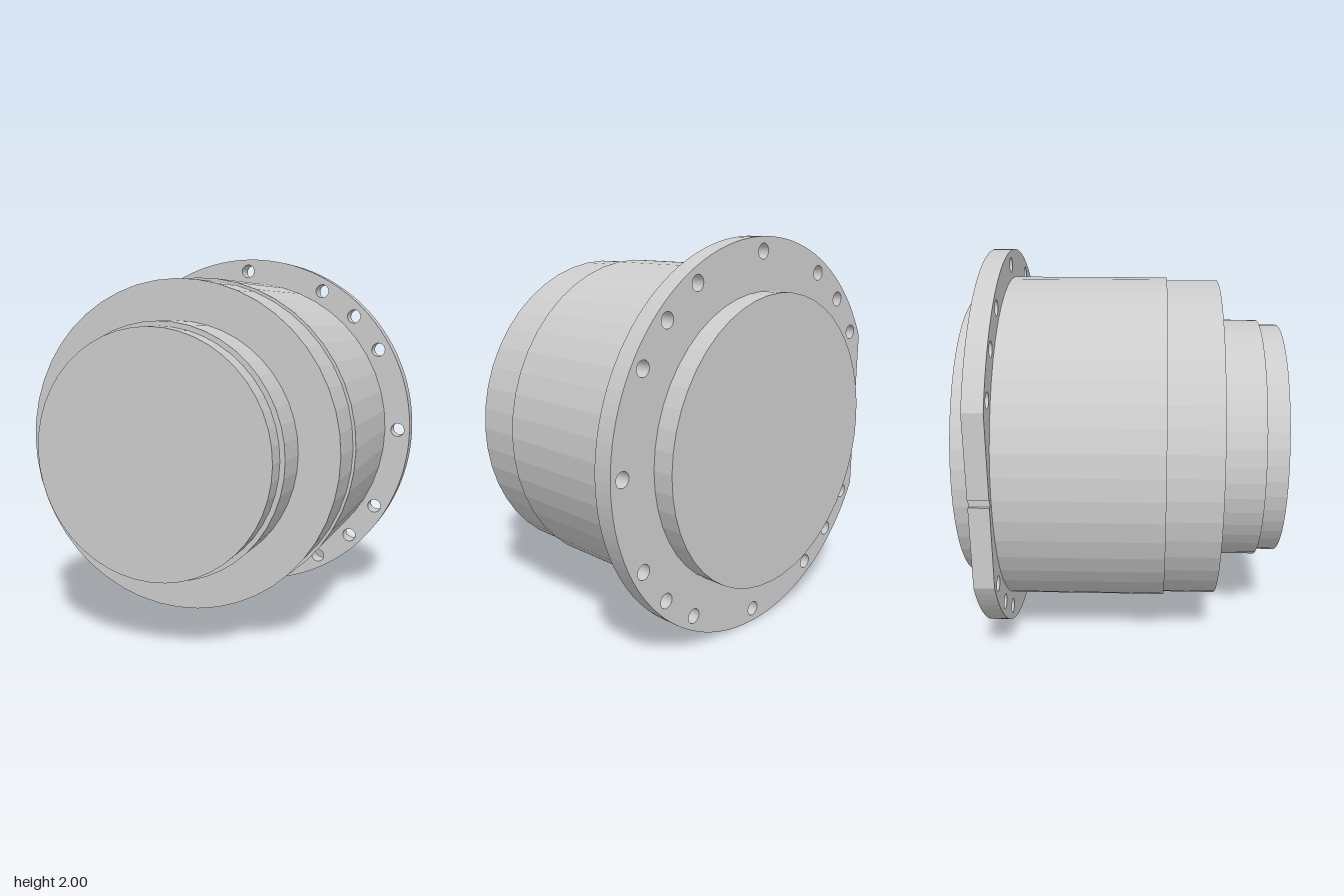
import * as THREE from 'three';

const AXIS_X = -0.05, AXIS_Y = 1;

export function createModel() {
  const group = new THREE.Group();
  const material = new THREE.MeshStandardMaterial({ color: 0xcccccc, flatShading: true });

  function add(name, geometry, z) {
    const mesh = new THREE.Mesh(geometry, material);
    mesh.name = name;
    mesh.position.set(AXIS_X, AXIS_Y, z);
    group.add(mesh);
  }

  // Stepped round housing along z: name, radius, back z, front z
  const steps = [
    ['frontCap', 0.61, 0.69, 0.8],
    ['frontCollar', 0.635, 0.475, 0.69],
    ['frontBody', 0.842, 0.21, 0.475],
    ['mainBody', 0.857, -0.59, 0.21],
    ['rearSpigot', 0.74, -0.8, -0.69],
  ];
  for (const [name, radius, back, front] of steps) {
    const geometry = new THREE.CylinderGeometry(radius, radius, front - back, 48);
    geometry.rotateX(Math.PI / 2);
    add(name, geometry, (back + front) / 2);
  }

  // Flange outline: a disc with one flat side and a small notch in it
  const flat = -0.9, notch = 0.018, depth = 0.014;
  const corner = Math.acos(flat);
  const outline = new THREE.Shape();
  outline.absarc(0, 0, 1, -corner, corner, false);
  outline.lineTo(flat, notch);
  outline.lineTo(flat + depth, notch);
  outline.lineTo(flat + depth, -notch);
  outline.lineTo(flat, -notch);
  outline.closePath();

  // Bolt holes, mirrored above and below
  for (const degrees of [0, 30, 45, 60, 90, 120, 135, 150]) {
    for (const side of degrees === 0 ? [1] : [1, -1]) {
      const a = side * THREE.MathUtils.degToRad(degrees);
      const hole = new THREE.Path();
      hole.absarc(0.93 * Math.cos(a), 0.93 * Math.sin(a), 0.038, 0, Math.PI * 2, true);
      outline.holes.push(hole);
    }
  }
  add('flange', new THREE.ExtrudeGeometry(outline, {
    depth: 0.1, bevelEnabled: false, curveSegments: 48,
  }), -0.69);

  return group;
}
